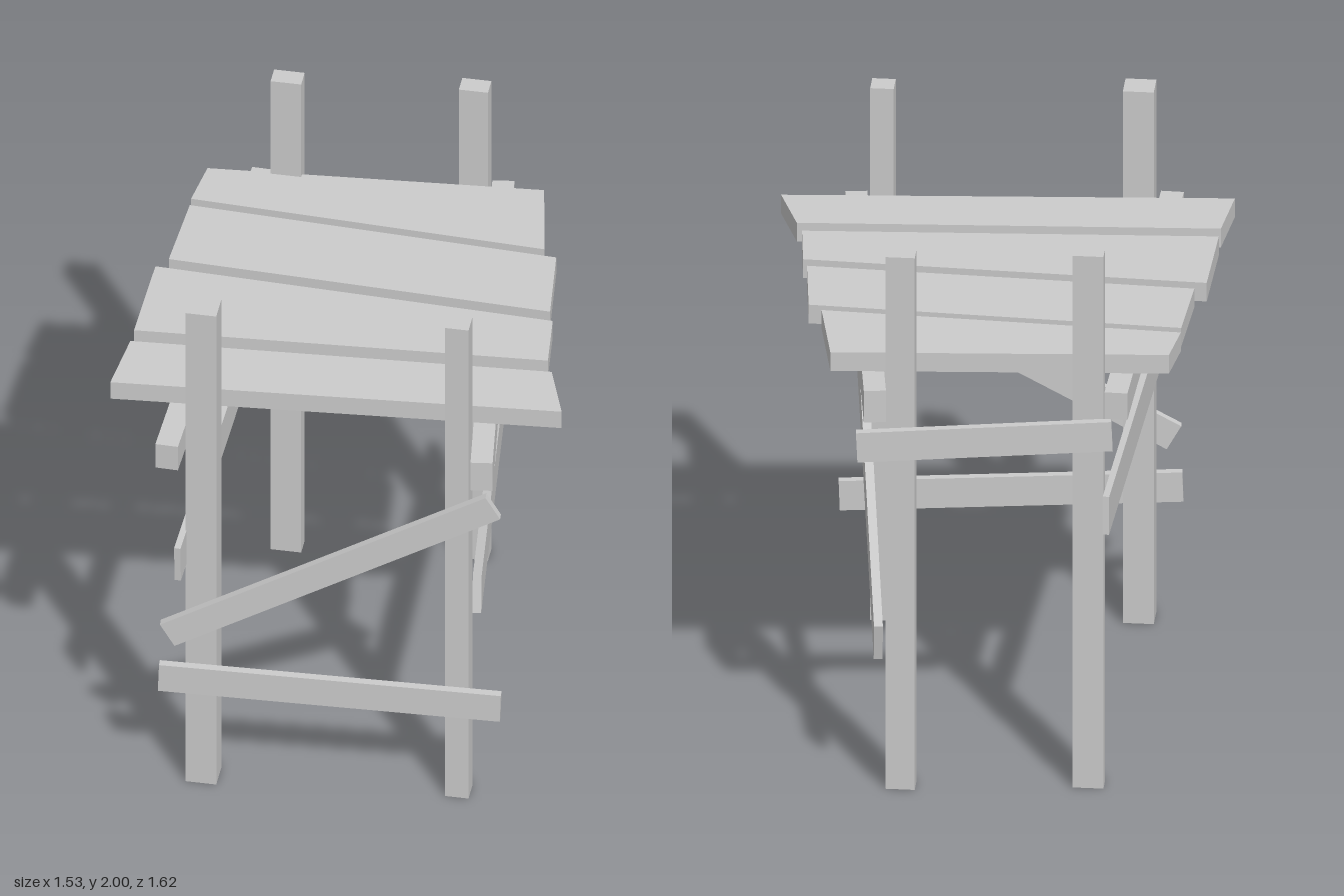
import * as THREE from 'three';

export function createModel() {
  const group = new THREE.Group();
  const mat = new THREE.MeshStandardMaterial({ color: 0xcccccc, flatShading: true });

  const add = (name, geometry) => {
    const mesh = new THREE.Mesh(geometry, mat);
    mesh.name = name;
    group.add(mesh);
    return mesh;
  };

  // Straight timber between two end points, kept upright
  const timber = (name, a, b, height, thickness) => {
    const start = new THREE.Vector3(...a), end = new THREE.Vector3(...b);
    const mesh = add(name, new THREE.BoxGeometry(thickness, height, start.distanceTo(end)));
    mesh.position.copy(start).lerp(end, 0.5);
    mesh.lookAt(end);
  };

  // Corner posts: centre x, centre z, width, depth
  const posts = {
    frontRightPost: [-0.446, 0.636, 0.105, 0.1],
    frontLeftPost: [0.422, 0.623, 0.08, 0.078],
    backRightPost: [-0.315, -0.655, 0.105, 0.066],
    backLeftPost: [0.32, -0.685, 0.1, 0.066],
  };
  for (const [name, [x, z, w, d]] of Object.entries(posts)) {
    const post = add(name, new THREE.BoxGeometry(w, 2, d));
    post.position.set(x, 1, z);
    post.rotation.y = -0.06;
  }

  // Beams carrying the deck
  timber('rightBeam', [-0.552, 1.472, 0.803], [-0.41, 1.472, -0.758], 0.1, 0.078);
  timber('leftBeam', [0.517, 1.463, 0.772], [0.405, 1.469, -0.78], 0.118, 0.075);

  // Thin braces nailed across the posts
  timber('frontLowerBrace', [-0.59, 0.463, 0.708], [0.572, 0.422, 0.688], 0.11, 0.028);
  timber('frontDiagonalBrace', [-0.56, 0.648, 0.708], [0.547, 1.277, 0.69], 0.1, 0.028);
  timber('backBrace', [-0.395, 1.342, -0.713], [0.468, 1.302, -0.745], 0.11, 0.028);
  timber('rightBrace', [-0.518, 0.998, 0.778], [-0.376, 1.064, -0.767], 0.14, 0.022);
  timber('leftBrace', [0.497, 0.931, 0.735], [0.393, 0.588, -0.795], 0.14, 0.03);

  // Crooked deck planks: outline corners as [x, z]
  const planks = [
    [[-0.585, -0.63], [0.56, -0.645], [0.6, -0.32], [-0.62, -0.455]],
    [[-0.62, -0.42], [0.645, -0.28], [0.66, 0.02], [-0.655, -0.115]],
    [[-0.695, -0.07], [0.675, 0.07], [0.685, 0.29], [-0.725, 0.29]],
    [[-0.73, 0.35], [0.705, 0.35], [0.765, 0.565], [-0.77, 0.585]],
  ];
  planks.forEach((corners, i) => {
    const outline = new THREE.Shape(corners.map(([x, z]) => new THREE.Vector2(x, -z)));
    const geometry = new THREE.ExtrudeGeometry(outline, { depth: 0.07, bevelEnabled: false });
    geometry.rotateX(-Math.PI / 2);
    add(`deckPlank${i + 1}`, geometry).position.y = 1.535;
  });

  return group;
}
